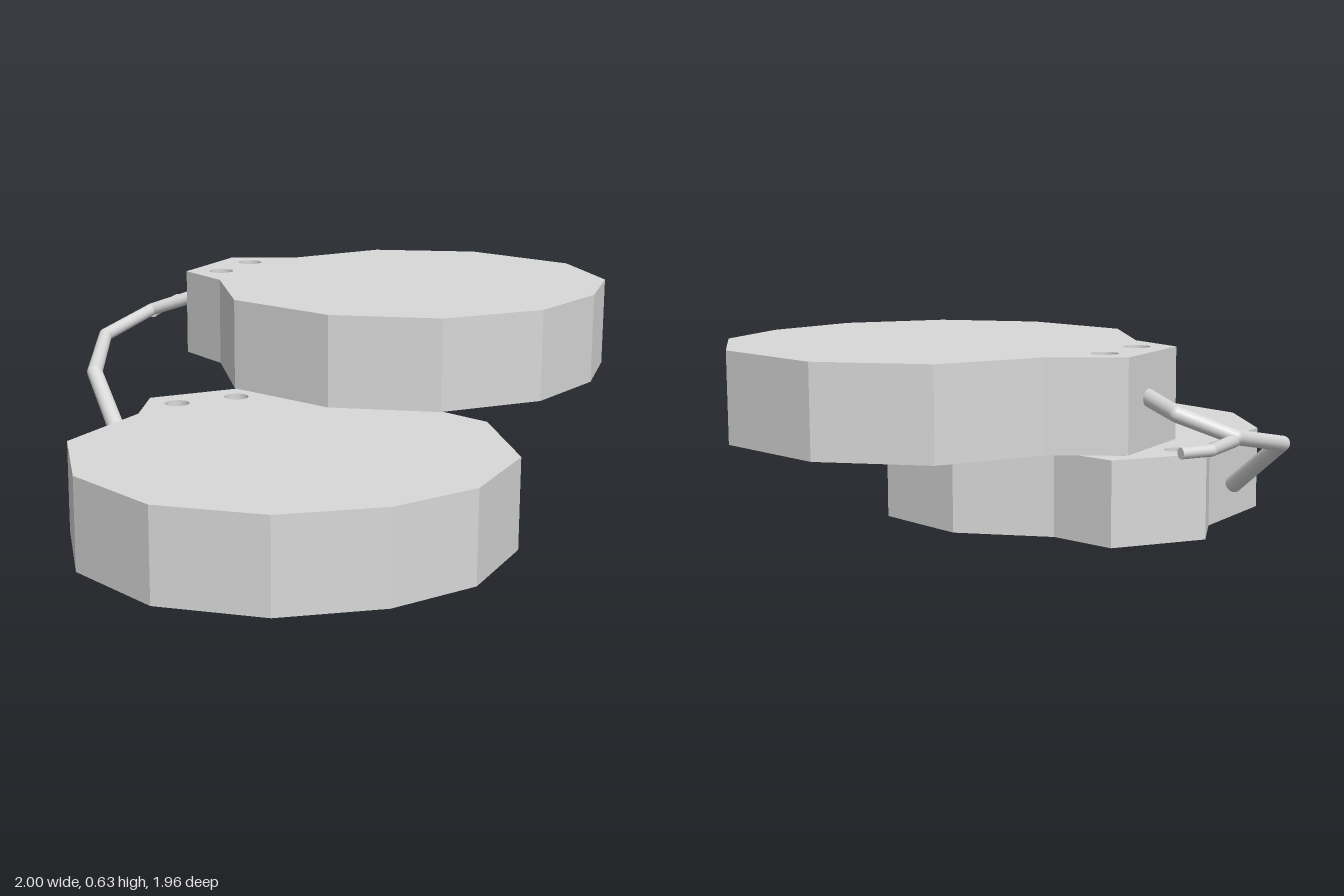
import * as THREE from 'three';
import { toCreasedNormals } from 'three/addons/utils/BufferGeometryUtils.js';

const HEIGHT = 0.27;
const PIN_RADIUS = 0.039;
const RECESS_RADIUS = 0.38;
const RECESS_DEPTH = 0.115;

export function createModel() {
  const metal = new THREE.MeshStandardMaterial({ color: 0xd8d8d8 });
  metal.name = 'lightGreyMetal';
  const model = new THREE.Group();
  model.name = 'tagPair';

  const addMesh = (parent, name, geometry) => {
    const mesh = new THREE.Mesh(geometry, metal);
    mesh.name = name;
    parent.add(mesh);
    return mesh;
  };

  // Outline with round holes [x, z, radius]
  const makeShape = (outline, holes) => {
    const shape = new THREE.Shape(outline.map(([x, z]) => new THREE.Vector2(x, z)));
    for (const [x, z, r] of holes) shape.holes.push(new THREE.Path().absarc(x, z, r, 0, Math.PI * 2, true));
    return shape;
  };

  // Faceted tag: outline and pin holes are [x, z]; a round recess opens downwards
  function addTag(name, baseY, outline, pins, [cx, cz]) {
    const tag = new THREE.Group();
    tag.name = name;
    tag.position.y = baseY;
    model.add(tag);

    const pinHoles = pins.map(([x, z]) => [x, z, PIN_RADIUS]);
    const solid = makeShape(outline, pinHoles);
    const pierced = makeShape(outline, [...pinHoles, [cx, cz, RECESS_RADIUS]]);

    // Side walls and pin hole walls: the extrusion without its caps
    const extrusion = new THREE.ExtrudeGeometry(solid, { depth: HEIGHT, bevelEnabled: false, curveSegments: 48 });
    const walls = new THREE.BufferGeometry();
    const wallStart = extrusion.groups[1].start * 3;
    walls.setAttribute('position',
      new THREE.BufferAttribute(extrusion.attributes.position.array.slice(wallStart), 3));
    walls.rotateX(Math.PI / 2).translate(0, HEIGHT, 0);
    addMesh(tag, name + 'Walls', toCreasedNormals(walls, 0.25));

    // Underside with the recess opening
    addMesh(tag, name + 'Underside', new THREE.ShapeGeometry(pierced, 48).rotateX(Math.PI / 2));

    // Top face, turned over so that it faces up
    const top = new THREE.ShapeGeometry(solid, 48).rotateX(Math.PI / 2).translate(0, HEIGHT, 0);
    top.index.array.reverse();
    top.computeVertexNormals();
    addMesh(tag, name + 'Top', top);

    // Recess floor and wall
    const recess = new THREE.LatheGeometry([
      new THREE.Vector2(0, RECESS_DEPTH),
      new THREE.Vector2(RECESS_RADIUS, RECESS_DEPTH),
      new THREE.Vector2(RECESS_RADIUS, 0),
    ], 48);
    addMesh(tag, name + 'Recess', toCreasedNormals(recess, 0.5)).position.set(cx, 0, cz);
  }

  addTag('lowerTag', 0, [
    [0.045, -0.03], [0.24, 0.23], [0.243, 0.57], [0.01, 0.877], [-0.3, 0.98],
    [-0.58, 0.928], [-0.84, 0.762], [-1, 0.485], [-0.98, 0.15], [-0.78, -0.14],
    [-0.435, -0.24], [-0.28, -0.37], [0.02, -0.26],
  ], [[-0.265, -0.257], [-0.075, -0.19]], [-0.37, 0.375]);

  addTag('upperTag', 0.36, [
    [-0.015, -0.49], [0.28, -0.595], [0.45, -0.44], [0.77, -0.365], [0.98, -0.095],
    [1, 0.29], [0.825, 0.568], [0.575, 0.703], [0.27, 0.743], [-0.035, 0.623],
    [-0.225, 0.36], [-0.255, 0], [-0.05, -0.29],
  ], [[0.07, -0.415], [0.26, -0.48]], [0.37, 0.15]);

  // Bent rod: straight tapered pieces with round joints; points are [x, y, z, radius]
  function addRod(name, points) {
    const rod = new THREE.Group();
    rod.name = name;
    for (let i = 0; i < points.length - 1; i++) {
      const a = new THREE.Vector3(...points[i].slice(0, 3));
      const b = new THREE.Vector3(...points[i + 1].slice(0, 3));
      const dir = b.clone().sub(a);
      const piece = addMesh(rod, name + 'Piece',
        new THREE.CylinderGeometry(points[i + 1][3], points[i][3], dir.length(), 16));
      piece.position.copy(a).lerp(b, 0.5);
      piece.quaternion.setFromUnitVectors(new THREE.Vector3(0, 1, 0), dir.normalize());
      if (i > 0) addMesh(rod, name + 'Joint', new THREE.SphereGeometry(points[i][3], 16, 12)).position.copy(a);
    }
    model.add(rod);
  }

  addRod('linkRod', [
    [-0.4, 0.16, -0.375, 0.027], [-0.3, 0.315, -0.625, 0.025], [-0.095, 0.38, -0.825, 0.022],
    [0.15, 0.43, -0.87, 0.021], [0.235, 0.485, -0.735, 0.023], [0.16, 0.505, -0.55, 0.025],
  ]);
  addRod('sideTwig', [
    [0.15, 0.42, -0.865, 0.018], [0.35, 0.43, -0.966, 0.016], [0.44, 0.43, -0.945, 0.015],
  ]);

  return model;
}
